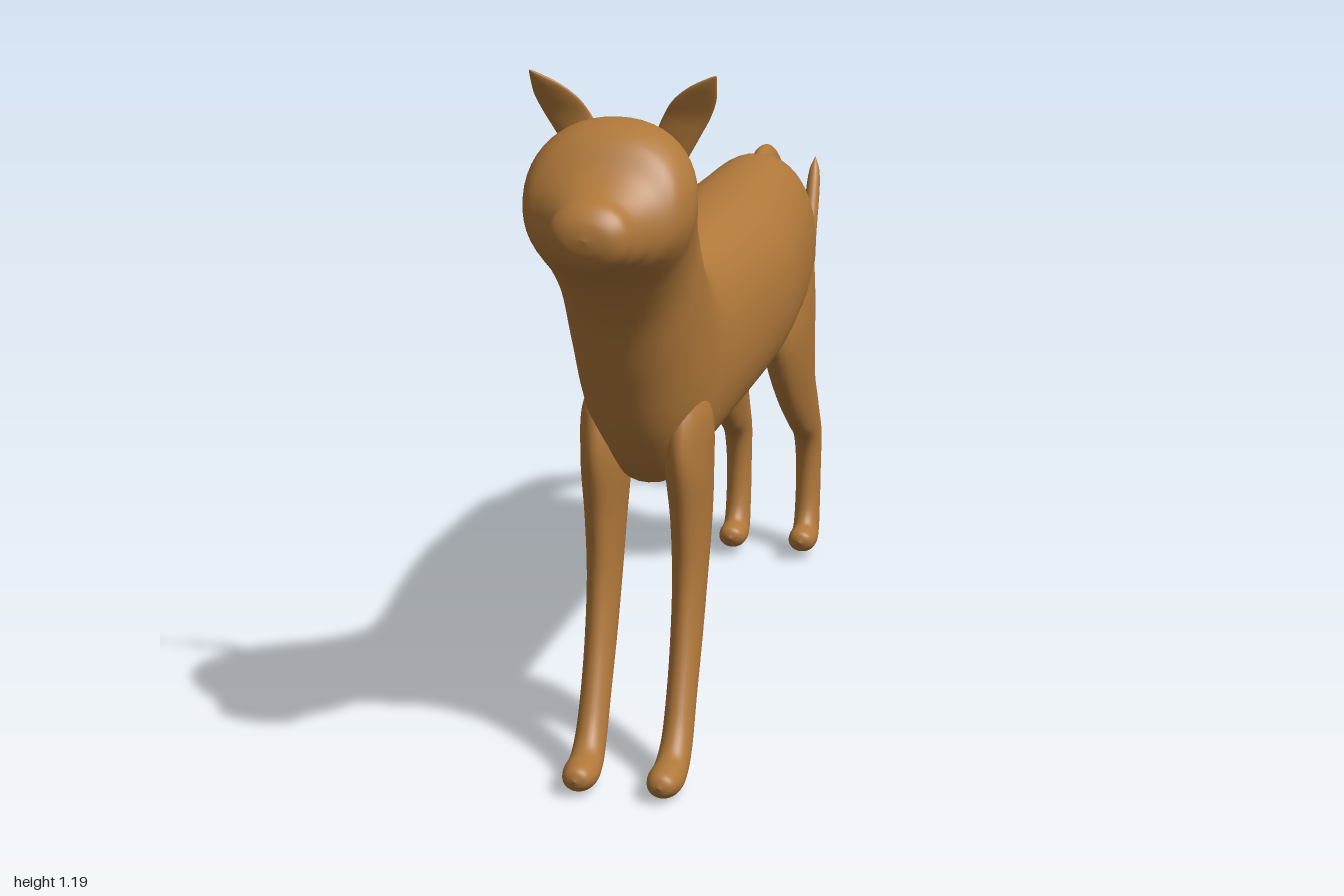
import * as THREE from 'three';

const fur = new THREE.MeshStandardMaterial({ color: 0xb0783a });
fur.name = 'brown fur';

// Smooth closed loft. Each station is [z1, y1, z2, y2, halfWidth, centreX]:
// an oval spanning the two profile points, halfWidth wide to each side.
function loft(name, stations, side = 1, power = 1, sides = 32, steps = 6) {
  const edge1 = new THREE.CatmullRomCurve3(stations.map(s => new THREE.Vector3((s[5] || 0) * side, s[1], s[0])));
  const edge2 = new THREE.CatmullRomCurve3(stations.map(s => new THREE.Vector3(s[4], s[3], s[2])));
  const rings = (stations.length - 1) * steps;
  const positions = [], index = [];
  const bulge = v => Math.sign(v) * Math.abs(v) ** power;
  for (let i = 0; i <= rings; i++) {
    const p = edge1.getPoint(i / rings), q = edge2.getPoint(i / rings);
    const width = Math.max(q.x, 0);
    for (let j = 0; j < sides; j++) {
      const a = j / sides * Math.PI * 2;
      const c = bulge(Math.cos(a)), s = bulge(Math.sin(a)) / 2;
      positions.push(p.x + width * c, (p.y + q.y) / 2 + (p.y - q.y) * s, (p.z + q.z) / 2 + (p.z - q.z) * s);
      if (i < rings) {
        const k = (j + 1) % sides, r = i * sides, n = r + sides;
        index.push(r + j, r + k, n + j, r + k, n + k, n + j);
      }
    }
  }
  const geometry = new THREE.BufferGeometry();
  geometry.setAttribute('position', new THREE.Float32BufferAttribute(positions, 3));
  geometry.setIndex(index);
  geometry.computeVertexNormals();
  const mesh = new THREE.Mesh(geometry, fur);
  mesh.name = name;
  return mesh;
}

// Rump, trunk, neck, head and muzzle in one skin
const body = [
  [-0.477, 0.65, -0.477, 0.65, 0],
  [-0.472, 0.72, -0.472, 0.57, 0.06],
  [-0.455, 0.78, -0.46, 0.53, 0.09],
  [-0.42, 0.83, -0.42, 0.505, 0.103],
  [-0.34, 0.858, -0.34, 0.495, 0.113],
  [-0.2, 0.86, -0.2, 0.498, 0.127],
  [0, 0.857, 0, 0.495, 0.14],
  [0.2, 0.85, 0.2, 0.483, 0.127],
  [0.37, 0.84, 0.42, 0.472, 0.109],
  [0.43, 0.845, 0.59, 0.475, 0.107],
  [0.5, 0.88, 0.69, 0.56, 0.108],
  [0.58, 0.955, 0.755, 0.68, 0.109],
  [0.645, 1.03, 0.805, 0.785, 0.113],
  [0.705, 1.09, 0.85, 0.845, 0.125],
  [0.79, 1.125, 0.885, 0.88, 0.136],
  [0.86, 1.107, 0.912, 0.896, 0.122],
  [0.905, 1.06, 0.932, 0.907, 0.094],
  [0.945, 1.034, 0.953, 0.911, 0.071],
  [0.975, 1.021, 0.978, 0.924, 0.06],
  [0.993, 1.0, 0.993, 0.946, 0.038],
  [1.0, 0.973, 1.0, 0.973, 0],
];

const frontLeg = [
  [0.61, 0.68, 0.57, 0.67, 0, 0.065],
  [0.66, 0.63, 0.52, 0.59, 0.036, 0.069],
  [0.683, 0.545, 0.5, 0.475, 0.037, 0.071],
  [0.66, 0.43, 0.517, 0.39, 0.032, 0.073],
  [0.652, 0.33, 0.553, 0.29, 0.028, 0.073],
  [0.67, 0.23, 0.59, 0.205, 0.026, 0.073],
  [0.7, 0.145, 0.635, 0.12, 0.025, 0.073],
  [0.728, 0.09, 0.685, 0.035, 0.026, 0.073],
  [0.755, 0.062, 0.73, 0.006, 0.028, 0.072],
  [0.79, 0.056, 0.79, 0.003, 0.029, 0.071],
  [0.818, 0.05, 0.818, 0.014, 0.02, 0.071],
  [0.827, 0.032, 0.827, 0.032, 0, 0.071],
];

const hindLeg = [
  [-0.33, 0.74, -0.36, 0.74, 0, 0.06],
  [-0.25, 0.67, -0.455, 0.69, 0.042, 0.06],
  [-0.195, 0.53, -0.477, 0.59, 0.049, 0.063],
  [-0.23, 0.45, -0.472, 0.5, 0.044, 0.066],
  [-0.32, 0.35, -0.487, 0.415, 0.035, 0.069],
  [-0.41, 0.283, -0.54, 0.33, 0.029, 0.071],
  [-0.475, 0.242, -0.57, 0.255, 0.027, 0.072],
  [-0.497, 0.18, -0.567, 0.18, 0.025, 0.072],
  [-0.491, 0.095, -0.556, 0.09, 0.025, 0.072],
  [-0.475, 0.07, -0.54, 0.027, 0.026, 0.072],
  [-0.455, 0.066, -0.49, 0.013, 0.028, 0.072],
  [-0.44, 0.06, -0.45, 0.02, 0.022, 0.072],
  [-0.433, 0.042, -0.433, 0.042, 0, 0.072],
];

// Thin upright ear leaning outward
const ear = [
  [0.7, 1.05, 0.72, 1.05, 0.022, 0.075],
  [0.704, 1.085, 0.724, 1.085, 0.035, 0.082],
  [0.711, 1.115, 0.728, 1.115, 0.038, 0.096],
  [0.724, 1.145, 0.738, 1.145, 0.034, 0.112],
  [0.736, 1.168, 0.746, 1.168, 0.021, 0.128],
  [0.743, 1.183, 0.749, 1.183, 0.006, 0.144],
  [0.748, 1.187, 0.748, 1.187, 0, 0.149],
];

// Tail drops, then curls up to its tip
const tail = [
  [-0.3, 0.8, -0.3, 0.84, 0],
  [-0.4, 0.74, -0.4, 0.861, 0.026],
  [-0.476, 0.735, -0.48, 0.848, 0.019],
  [-0.583, 0.68, -0.57, 0.8, 0.016],
  [-0.674, 0.55, -0.66, 0.675, 0.016],
  [-0.743, 0.415, -0.74, 0.515, 0.016],
  [-0.807, 0.38, -0.803, 0.451, 0.016],
  [-0.88, 0.445, -0.868, 0.505, 0.016],
  [-0.945, 0.57, -0.925, 0.61, 0.015],
  [-0.995, 0.69, -0.978, 0.71, 0.011],
  [-0.998, 0.73, -0.998, 0.73, 0],
];

export function createModel() {
  const model = new THREE.Group();
  model.name = 'cat';
  model.add(loft('body', body, 1, 0.93, 48, 8), loft('tail', tail));
  for (const [label, side] of [['left', 1], ['right', -1]]) {
    model.add(
      loft(label + 'FrontLeg', frontLeg, side),
      loft(label + 'HindLeg', hindLeg, side),
      loft(label + 'Ear', ear, side),
    );
  }
  return model;
}
